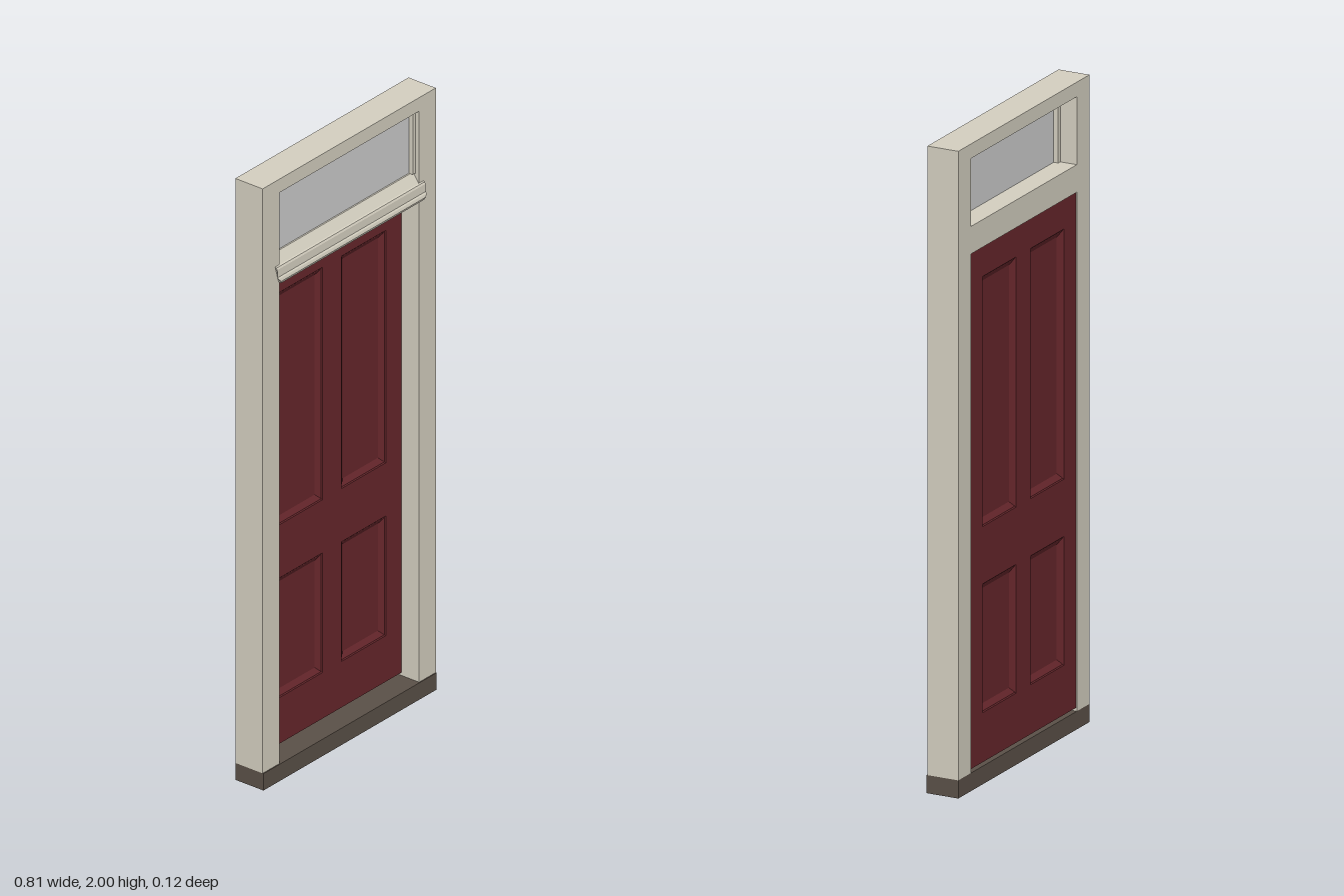
import * as THREE from 'three';

const mat = (color, side = THREE.FrontSide) =>
  new THREE.MeshStandardMaterial({ color, flatShading: true, side });

// Box given by its minimum and maximum corners
function box(name, x0, x1, y0, y1, z0, z1, material) {
  const m = new THREE.Mesh(new THREE.BoxGeometry(x1 - x0, y1 - y0, z1 - z0), material);
  m.position.set((x0 + x1) / 2, (y0 + y1) / 2, (z0 + z1) / 2);
  m.name = name;
  return m;
}

// Profile of [z, y] points, extruded along x and centred
function moulding(name, points, halfWidth, material) {
  const shape = new THREE.Shape(points.map(([z, y]) => new THREE.Vector2(-z, y)));
  const g = new THREE.ExtrudeGeometry(shape, { depth: halfWidth * 2, bevelEnabled: false });
  g.translate(0, 0, -halfWidth).rotateY(Math.PI / 2);
  const m = new THREE.Mesh(g, material);
  m.name = name;
  return m;
}

function rectPath(path, x0, x1, y0, y1) {
  path.moveTo(x0, y0);
  path.lineTo(x1, y0);
  path.lineTo(x1, y1);
  path.lineTo(x0, y1);
  path.closePath();
  return path;
}

// Sunken panel facing +z: rectangular rings stepping inward, closed by a flat field
function sunkenPanel(w, h, steps) {
  const pos = [], index = [];
  for (const [inset, z] of steps) {
    const a = w / 2 - inset, b = h / 2 - inset;
    pos.push(-a, -b, z, a, -b, z, a, b, z, -a, b, z);
  }
  for (let r = 0; r < steps.length - 1; r++) {
    for (let i = 0; i < 4; i++) {
      const a = r * 4 + i, b = r * 4 + (i + 1) % 4;
      index.push(a, b, b + 4, a, b + 4, a + 4);
    }
  }
  const k = (steps.length - 1) * 4;
  index.push(k, k + 1, k + 2, k, k + 2, k + 3);
  const g = new THREE.BufferGeometry();
  g.setAttribute('position', new THREE.Float32BufferAttribute(pos, 3));
  g.setIndex(index);
  const flat = g.toNonIndexed();
  flat.computeVertexNormals();
  return flat;
}

function createDoor(material) {
  const door = new THREE.Group();
  door.name = 'door';
  const back = -0.058, front = -0.022, mid = (back + front) / 2, half = (front - back) / 2;
  const panels = [];
  for (const [x0, x1] of [[-0.25, -0.044], [0.044, 0.25]]) {
    for (const [y0, y1] of [[0.22, 0.618], [0.795, 1.568]]) panels.push([x0, x1, y0, y1]);
  }

  // Stiles and rails
  const shape = rectPath(new THREE.Shape(), -0.323, 0.323, 0.067, 1.66);
  panels.forEach(p => shape.holes.push(rectPath(new THREE.Path(), ...p)));
  const leaf = new THREE.Mesh(
    new THREE.ExtrudeGeometry(shape, { depth: front - back, bevelEnabled: false }), material);
  leaf.position.z = back;
  leaf.name = 'doorLeaf';
  door.add(leaf);

  // Panels on both faces
  const steps = [[0, half], [0.003, half - 0.003], [0.005, half - 0.003], [0.021, half - 0.013]];
  for (const [x0, x1, y0, y1] of panels) {
    const geometry = sunkenPanel(x1 - x0, y1 - y0, steps);
    for (const turn of [0, Math.PI]) {
      const m = new THREE.Mesh(geometry, material);
      m.position.set((x0 + x1) / 2, (y0 + y1) / 2, mid);
      m.rotation.y = turn;
      m.name = turn ? 'backPanel' : 'frontPanel';
      door.add(m);
    }
  }
  return door;
}

export function createModel() {
  const root = new THREE.Group();
  root.name = 'frontDoor';
  const stone = mat(0xd3cebf), red = mat(0x66262b), dark = mat(0x5a5047);
  const glass = mat(0xcccccc, THREE.DoubleSide);
  const B = -0.06, F = 0.043;

  // Sill, head and jambs
  root.add(box('sill', -0.403, 0.403, 0, 0.056, B, 0.046, dark));
  root.add(box('head', -0.403, 0.403, 1.955, 2, B, F, stone));
  for (const s of [-1, 1]) {
    const side = s > 0 ? 'left' : 'right';
    const span = (a, b) => s > 0 ? [a, b] : [-b, -a];
    root.add(box(side + 'Jamb', ...span(0.325, 0.403), 0.056, 1.955, B, F, stone));
    root.add(box(side + 'GlassStop', ...span(0.312, 0.325), 1.745, 1.955, -0.005, 0.03, stone));
  }
  root.add(box('topGlassStop', -0.312, 0.312, 1.945, 1.955, -0.005, 0.03, stone));

  // Transom bar with a sloping front edge
  root.add(moulding('transomBar',
    [[B, 1.66], [F, 1.66], [F, 1.712], [0.02, 1.745], [B, 1.745]], 0.325, stone));

  // Drip ledge with a rounded nose, its ends drawn in towards the bottom
  const ledge = moulding('dripLedge', [
    [F, 1.66], [0.05, 1.658], [0.056, 1.662], [0.059, 1.67], [0.056, 1.679],
    [0.052, 1.683], [0.051, 1.708], [0.048, 1.714], [F, 1.716]], 0.345, stone);
  const p = ledge.geometry.attributes.position;
  for (let i = 0; i < p.count; i++) {
    const x = p.getX(i);
    p.setX(i, Math.sign(x) * (Math.abs(x) - Math.max(0, 1.68 - p.getY(i)) * 0.8));
  }
  ledge.geometry.computeVertexNormals();
  root.add(ledge);

  // Fanlight pane
  root.add(box('glassPane', -0.313, 0.313, 1.745, 1.946, 0.01, 0.015, glass));

  root.add(createDoor(red));
  return root;
}
